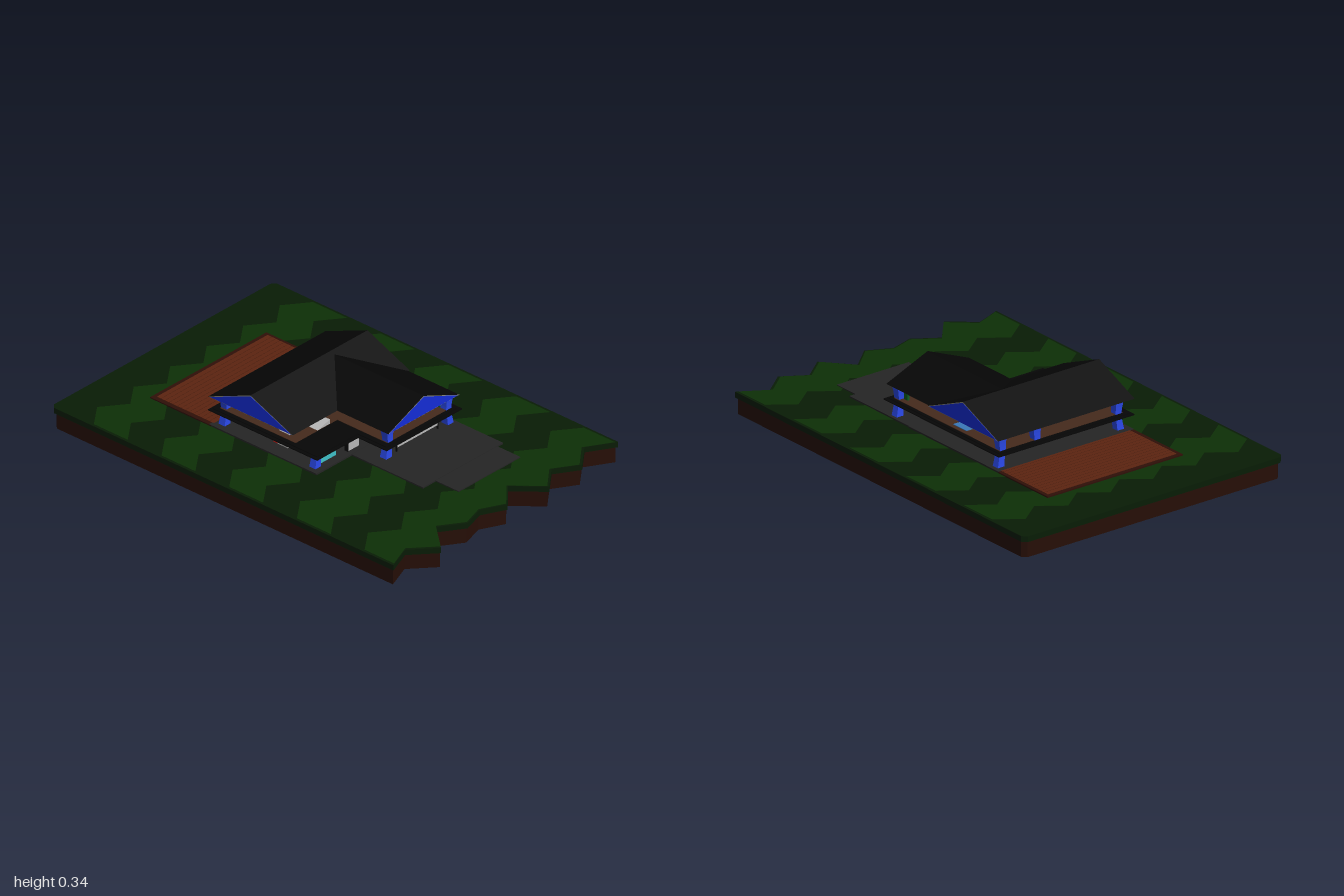
import * as THREE from 'three';

const mat = (color) => new THREE.MeshStandardMaterial({ color, flatShading: true });
const M = {
  grass: mat(0x081c05), stripe: mat(0x0d3006), dirt: mat(0x260e06), roof: mat(0x060606),
  blue: mat(0x142cd6), column: mat(0x2a48e8), trim: mat(0x8a8a80), wood: mat(0x5c2410),
  joint: mat(0x461a0b), darkWood: mat(0x2e0f07), paving: mat(0x252525), floor: mat(0x452a1c),
  grey: mat(0xb8b8b8), teal: mat(0x3fc0c8), red: mat(0xd81c14), rug: mat(0x3a78b8), green: mat(0x0c5a20),
};
M.dirt.side = THREE.DoubleSide;

export function createModel() {
  const group = new THREE.Group();
  const add = (name, geometry, material) => {
    const mesh = new THREE.Mesh(geometry, material);
    mesh.name = name;
    group.add(mesh);
    return mesh;
  };
  // box given by its limits on each axis
  const box = (name, material, x0, x1, y0, y1, z0, z1) => add(name,
    new THREE.BoxGeometry(x1 - x0, y1 - y0, z1 - z0)
      .translate((x0 + x1) / 2, (y0 + y1) / 2, (z0 + z1) / 2), material);
  const toShape = pts => new THREE.Shape(pts.map(p => new THREE.Vector2(p[0], p[1])));
  // plan outline of [x, z] points, extruded downwards from top
  const plan = (name, material, shape, top, depth) => add(name,
    new THREE.ExtrudeGeometry(shape, { depth, bevelEnabled: false })
      .rotateX(Math.PI / 2).translate(0, top, 0), material);

  // ground with a ragged front edge
  const W = 0.695;
  const edge = [0.95, 0.9, 1, 0.87, 0.945, 0.91, 0.965, 0.865, 0.995, 0.905, 0.975, 0.885, 0.96];
  const front = edge.map((z, i) => [(i - 6) * 0.1135, z]);
  front[0][0] = -W;
  front[12][0] = W;
  const outline = [[W - 0.02, -1], [-W + 0.02, -1], [-W, -0.98], ...front, [W, -0.98]];
  plan('grass', M.grass, toShape(outline), 0.1, 0.026);

  // hollow soil wall; the hole runs the other way round to the outline
  const scaled = k => outline.map(([x, z]) => [x * k, z * k]);
  const rim = toShape(scaled(0.99));
  rim.holes.push(new THREE.Path(scaled(0.97).reverse().map(p => new THREE.Vector2(...p))));
  plan('soilWall', M.dirt, rim, 0.08, 0.08);

  // zigzag mowing stripes
  const zigzag = z => Array.from({ length: 13 }, (_, i) =>
    [(i - 6) * 0.1138, z + (i % 2 ? 0 : 0.085)]);
  for (let k = 0; k < 5; k++) {
    const z = -0.85 + k * 0.385;
    const far = k < 4 ? zigzag(z + 0.1925) : front.map(([x, v]) => [x * 0.983, v - 0.008]);
    plan('grassStripe', M.stripe, toShape([...zigzag(z), ...far.reverse()]), 0.101, 0.002);
  }

  // brick patio with border and joints
  box('patioBorder', M.darkWood, -0.365, 0.36, 0.1, 0.106, -0.735, -0.39);
  box('patio', M.wood, -0.345, 0.345, 0.1, 0.108, -0.715, -0.39);
  for (let i = 1; i < 14; i++) {
    const z = -0.715 + i * 0.023;
    box('patioJoint', M.joint, -0.345, 0.345, 0.108, 0.1083, z, z + 0.002);
  }

  // house foundation and driveway
  box('foundation', M.paving, -0.365, 0.36, 0.1, 0.108, -0.4, 0.21);
  box('driveway', M.paving, -0.145, 0.355, 0.1, 0.107, 0.2, 0.615);
  box('drivewayEnd', M.paving, -0.065, 0.32, 0.1, 0.105, 0.59, 0.745);

  // upper floor: dark slab with a wooden deck
  const slab = (g) => toShape([[-0.365 + g, -0.405 + g], [0.36 - g, -0.405 + g], [0.36 - g, 0.378 - g],
    [-0.11 + g, 0.378 - g], [-0.11 + g, 0.215 - g], [-0.365 + g, 0.215 - g]]);
  plan('floorSlab', M.roof, slab(0), 0.178, 0.005);
  plan('floorTop', M.roof, slab(0.015), 0.182, 0.012);
  box('deck', M.floor, -0.33, 0.33, 0.178, 0.184, -0.37, 0.06);
  box('deckFront', M.floor, -0.07, 0.33, 0.178, 0.184, 0.05, 0.345);

  // gable roof along z; ends are trimmed with a blue panel
  const gable = (name, half, eave, ridge, length) => {
    const roof = new THREE.Group();
    roof.name = name;
    const tri = (k, y0, y1) => toShape([[-half * k, y0], [half * k, y0], [0, y1]]);
    const body = new THREE.ExtrudeGeometry(tri(1, eave, ridge), { depth: length, bevelEnabled: false });
    const panel = new THREE.ExtrudeGeometry(tri(0.95, eave + 0.002, ridge - 0.004),
      { depth: length + 0.003, bevelEnabled: false }).translate(0, 0, -0.0015);
    roof.add(new THREE.Mesh(body, [M.trim, M.roof]), new THREE.Mesh(panel, M.blue));
    roof.children[0].name = 'roofTiles';
    roof.children[1].name = 'gablePanels';
    group.add(roof);
    return roof;
  };
  const main = gable('mainRoof', 0.24, 0.245, 0.345, 0.73);
  main.rotation.y = Math.PI / 2;
  main.position.set(-0.37, 0, -0.16);
  gable('frontRoof', 0.222, 0.245, 0.336, 0.53).position.set(0.13, 0, -0.16);

  // flared square columns, leaning in towards the floor slab
  const column = (x, z, y0, y1, low, high, lean0, lean1) => {
    const g = new THREE.BoxGeometry(1, 1, 1, 1, 4, 1), p = g.attributes.position;
    for (let i = 0; i < p.count; i++) {
      const t = p.getY(i) + 0.5, f = low > high ? (1 - t) ** 2 : t * t;
      const w = Math.min(low, high) + Math.abs(low - high) * f;
      const lean = lean0 + (lean1 - lean0) * t;
      p.setXYZ(i, x + Math.sign(x) * lean + p.getX(i) * w, y0 + (y1 - y0) * t, z + p.getZ(i) * w);
    }
    g.computeVertexNormals();
    add('column', g, M.column);
  };
  const lower = (x, z) => column(x, z, 0.105, 0.174, 0.036, 0.03, 0.008, -0.002);
  const upper = (x, z) => column(x, z, 0.181, 0.248, 0.032, 0.044, -0.004, 0.002);
  for (const [x, z] of [[-0.31, -0.355], [0.315, -0.355], [-0.055, 0.33], [0.315, 0.33]]) {
    lower(x, z);
    upper(x, z);
  }
  lower(-0.315, 0.165);
  upper(0.13, -0.355);

  // half-raised garage door with a thin frame
  box('garageDoor', M.grey, 0, 0.255, 0.125, 0.168, 0.33, 0.335);
  for (const x of [-0.002, 0.254]) box('garagePost', M.roof, x, x + 0.003, 0.107, 0.174, 0.329, 0.337);
  box('garageRail', M.roof, 0, 0.255, 0.166, 0.169, 0.329, 0.337);

  // entrance glazing and front door
  box('entranceGlass', M.teal, -0.305, -0.195, 0.108, 0.172, 0.15, 0.166);
  box('frontDoor', M.grey, -0.14, -0.07, 0.108, 0.165, 0.168, 0.184);
  box('doorJamb', M.roof, -0.142, -0.139, 0.108, 0.166, 0.167, 0.186);
  box('doorLintel', M.roof, -0.142, -0.07, 0.164, 0.167, 0.167, 0.186);

  // stair wall, stairwell opening and furniture
  add('stairWall', new THREE.ExtrudeGeometry(
    toShape([[-0.2, 0.13], [-0.115, 0.108], [-0.115, 0.205], [-0.2, 0.182]]),
    { depth: 0.08, bevelEnabled: false }).translate(0, 0, -0.02), M.grey);
  box('stairwellEdge', M.grey, -0.3, -0.22, 0.183, 0.186, -0.06, 0);
  box('kitchenBlock', M.grey, -0.29, -0.21, 0.108, 0.172, -0.08, -0.02);
  box('cabinet', M.red, -0.29, -0.21, 0.108, 0.174, -0.102, -0.08);
  box('bench', M.roof, -0.114, -0.105, 0.108, 0.143, -0.02, 0.05);
  box('rug', M.rug, 0.2, 0.31, 0.183, 0.186, -0.12, -0.03);
  box('cupboard', M.green, 0.293, 0.305, 0.183, 0.246, 0.285, 0.31);
  return group;
}
